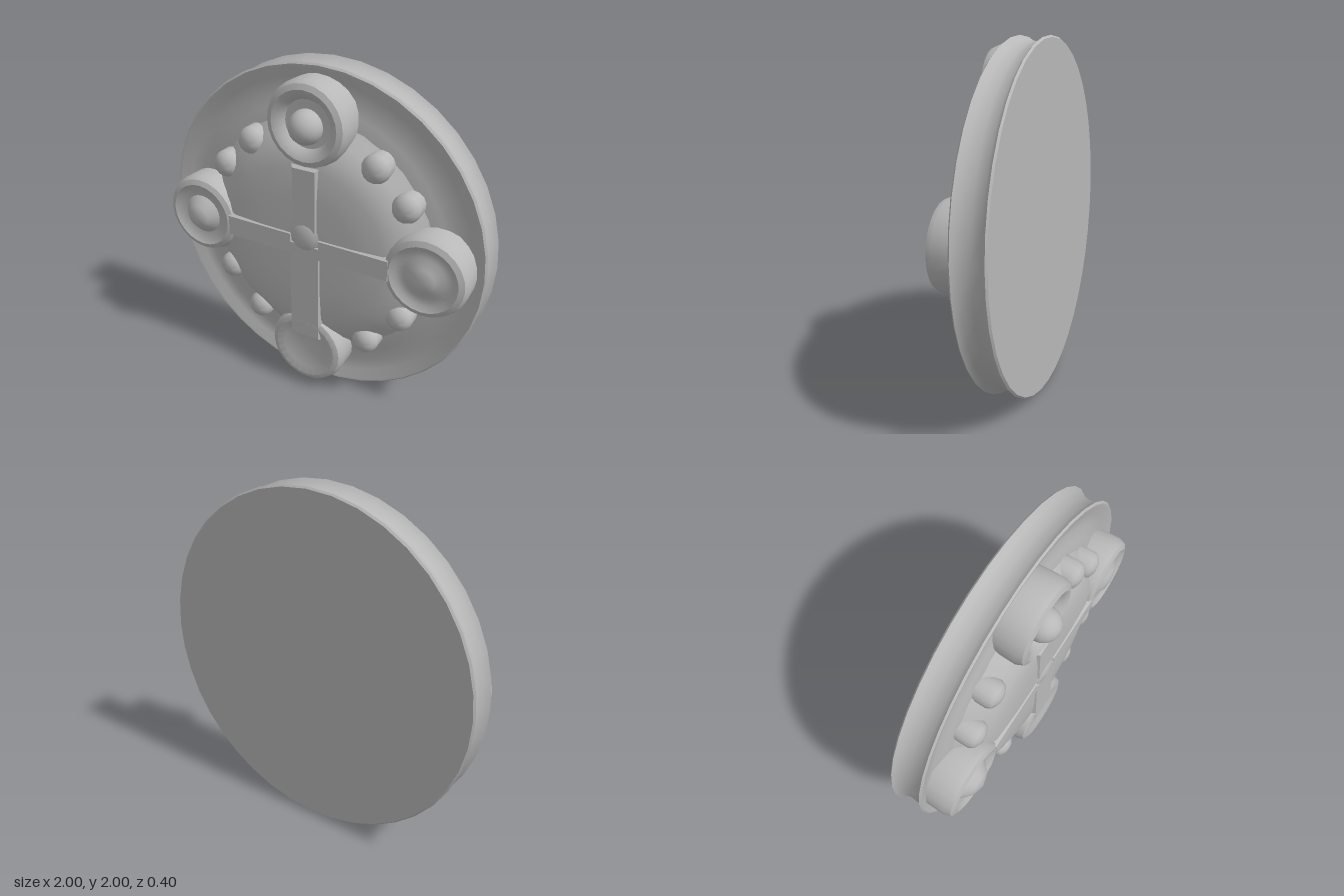
import * as THREE from 'three';
import { toCreasedNormals } from 'three/addons/utils/BufferGeometryUtils.js';

const stone = new THREE.MeshStandardMaterial({ color: 0xb8b8b8 });
stone.name = 'grey stone';

// Turned part facing +z; the profile lists [radius, z] from back to front
function turned(name, profile, x, y, sides = 24, crease = 0.75) {
  const pts = profile.map(([r, z]) => new THREE.Vector2(r, z));
  const geo = new THREE.LatheGeometry(pts, sides).rotateX(Math.PI / 2);
  const mesh = new THREE.Mesh(toCreasedNormals(geo, crease), stone);
  mesh.name = name;
  mesh.position.set(x, y, 0);
  return mesh;
}

// Low ridge whose top is narrower than its foot
function ridge(name, w, h, top, x, y) {
  const depth = 0.06;
  const geo = new THREE.BoxGeometry(w, h, depth);
  const p = geo.attributes.position;
  for (let i = 0; i < p.count; i++) {
    if (p.getZ(i) > 0) {
      p.setX(i, p.getX(i) - Math.sign(p.getX(i)) * 0.04);
      p.setY(i, p.getY(i) - Math.sign(p.getY(i)) * 0.04);
    }
  }
  const mesh = new THREE.Mesh(toCreasedNormals(geo.toNonIndexed(), 0.5), stone);
  mesh.name = name;
  mesh.position.set(x, y, top - depth / 2);
  return mesh;
}

export function createModel() {
  const model = new THREE.Group();
  model.name = 'medallion';

  // Round base: flat back, hollowed edge, shallow dished face
  model.add(turned('base', [
    [0, -0.2], [0.99, -0.2], [1, -0.19], [0.975, -0.165], [0.968, -0.11],
    [0.975, -0.05], [1, -0.02], [0.99, -0.01], [0.975, -0.012], [0.92, -0.035],
    [0.85, -0.045], [0.78, -0.03], [0.7, -0.015], [0, -0.01],
  ], 0, 1, 40));

  // Raised field in the middle
  model.add(turned('raisedField', [
    [0.73, -0.03], [0.69, 0.0], [0.64, 0.05], [0.57, 0.095],
    [0.48, 0.12], [0.3, 0.128], [0, 0.13],
  ], 0, 1, 32));

  // Four roundels, two of them with a beaded centre
  const side = [[0.235, -0.05], [0.24, 0.09], [0.225, 0.125], [0.195, 0.138]];
  model.add(turned('topRoundel', [...side, [0.16, 0.125], [0.135, 0.09], [0, 0.085]], 0, 1.71));
  model.add(turned('bottomRoundel', [...side, [0.15, 0.122], [0, 0.12]], 0, 0.29));
  model.add(turned('rightRoundel', [...side, [0.165, 0.12], [0.12, 0.115], [0.07, 0.165], [0, 0.185]], -0.715, 1.01));
  model.add(turned('leftRoundel', [...side, [0.165, 0.12], [0.12, 0.115], [0.07, 0.145], [0, 0.16]], 0.71, 1.01));

  const bead = new THREE.Mesh(new THREE.SphereGeometry(0.095, 16, 12), stone);
  bead.name = 'topBead';
  bead.position.set(0, 1.7, 0.105);
  model.add(bead);

  // Small bosses around the field
  const boss = [[0.078, -0.04], [0.08, 0.06], [0.066, 0.088], [0.035, 0.105], [0, 0.11]];
  for (const s of [-1, 1]) {
    for (const [x, y] of [[0.38, 1.53], [0.56, 1.35], [0.56, 0.67], [0.36, 0.44]]) {
      model.add(turned('boss', boss, s * x, y, 14));
    }
    model.add(ridge('crossArm', 0.5, 0.2, 0.137, s * 0.3, 1.0));
  }

  // Cross in low relief with a small hub
  model.add(ridge('crossUpperArm', 0.22, 0.5, 0.137, 0, 1.26));
  model.add(ridge('crossLowerArm', 0.26, 0.7, 0.137, 0, 0.7));
  model.add(turned('hub', [[0.11, 0.12], [0.07, 0.142], [0, 0.152]], 0, 1.06, 12));

  return model;
}
